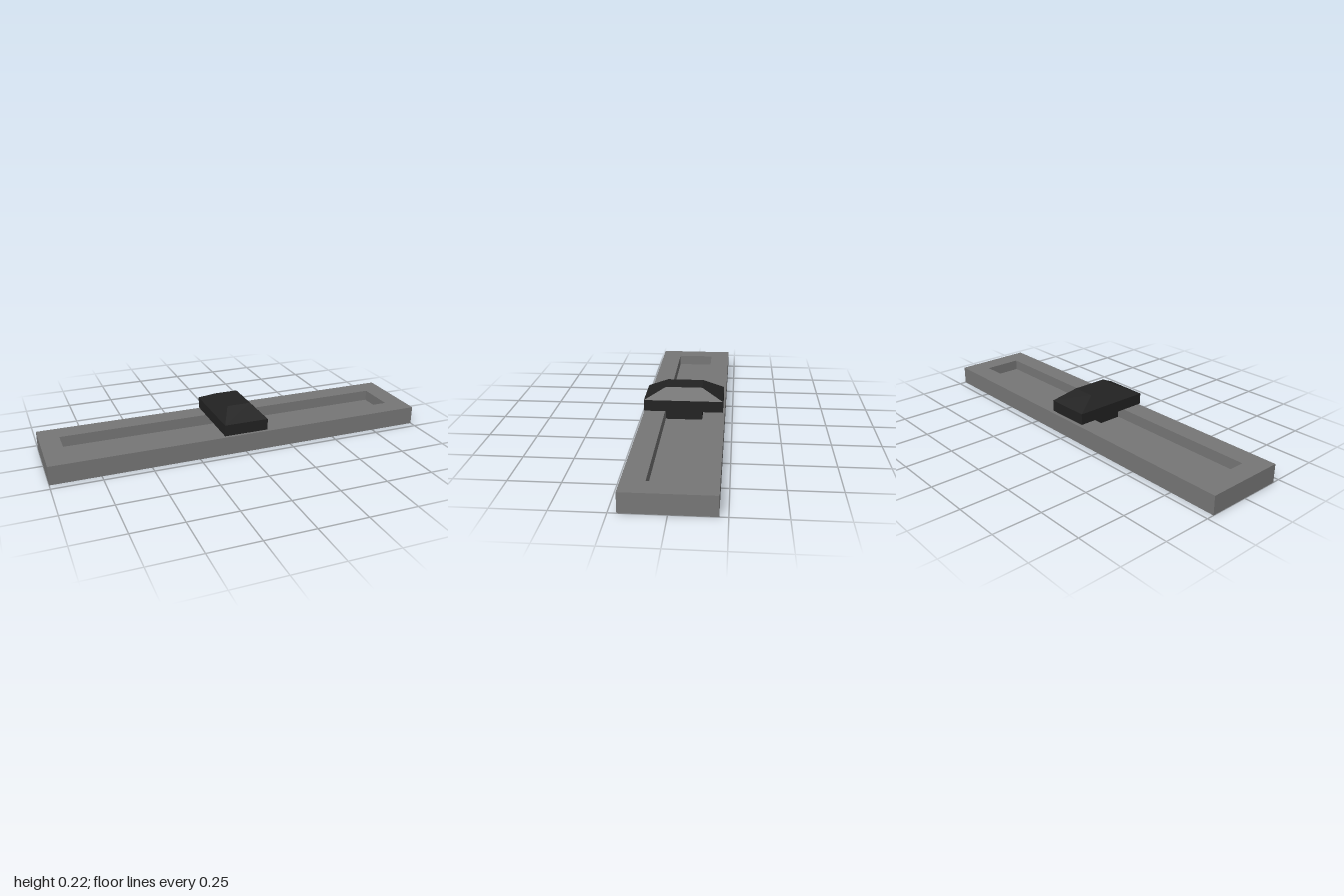
import * as THREE from 'three';

const BASE_H = 0.097, FLOOR_Y = 0.04, SLIDER_Z = 0.0045;

function rect(PathType, x0, x1, z0, z1) {
  const p = new PathType();
  p.moveTo(x0, z0);
  p.lineTo(x1, z0);
  p.lineTo(x1, z1);
  p.lineTo(x0, z1);
  p.closePath();
  return p;
}

// Upright slab extruded from y0 to y1
function slab(shape, y0, y1) {
  const g = new THREE.ExtrudeGeometry(shape, { depth: y1 - y0, bevelEnabled: false });
  g.rotateX(-Math.PI / 2);
  g.translate(0, y0, 0);
  return g;
}

export function createModel() {
  const group = new THREE.Group();
  const trackMat = new THREE.MeshStandardMaterial({ color: 0x777777, flatShading: true });
  const knobMat = new THREE.MeshStandardMaterial({ color: 0x222222, flatShading: true });

  const add = (name, geometry, material) => {
    const m = new THREE.Mesh(geometry, material);
    m.name = name;
    group.add(m);
    return m;
  };

  // Track: frame around the slot
  const frame = rect(THREE.Shape, -1, 1, -0.211, 0.211);
  frame.holes.push(rect(THREE.Path, -0.897, 0.894, -0.102, 0.102));
  add('trackFrame', slab(frame, 0, BASE_H), trackMat);

  // Slot floor, closing the underside
  add('slotFloor', slab(rect(THREE.Shape, -0.897, 0.894, -0.102, 0.102), 0, FLOOR_Y), trackMat);

  // Stem joining the cap to the slot
  const stemH = 0.105 - FLOOR_Y;
  add('sliderStem', new THREE.BoxGeometry(0.124, stemH, 0.191), knobMat)
    .position.set(0, FLOOR_Y + stemH / 2, SLIDER_Z);

  // Cap: straight sides below, tapering to a smaller flat top
  const cap = new THREE.BoxGeometry(0.234, 0.115, 0.412, 1, 2, 1);
  const p = cap.attributes.position;
  for (let i = 0; i < p.count; i++) {
    const y = p.getY(i);
    if (y > 0.05) {
      p.setX(i, Math.sign(p.getX(i)) * 0.062);
      p.setZ(i, Math.sign(p.getZ(i)) * 0.0955);
    } else if (Math.abs(y) < 0.01) {
      p.setY(i, 0.0015);
    }
  }
  cap.computeVertexNormals();
  add('sliderCap', cap, knobMat).position.set(0, 0.1625, SLIDER_Z);

  return group;
}
